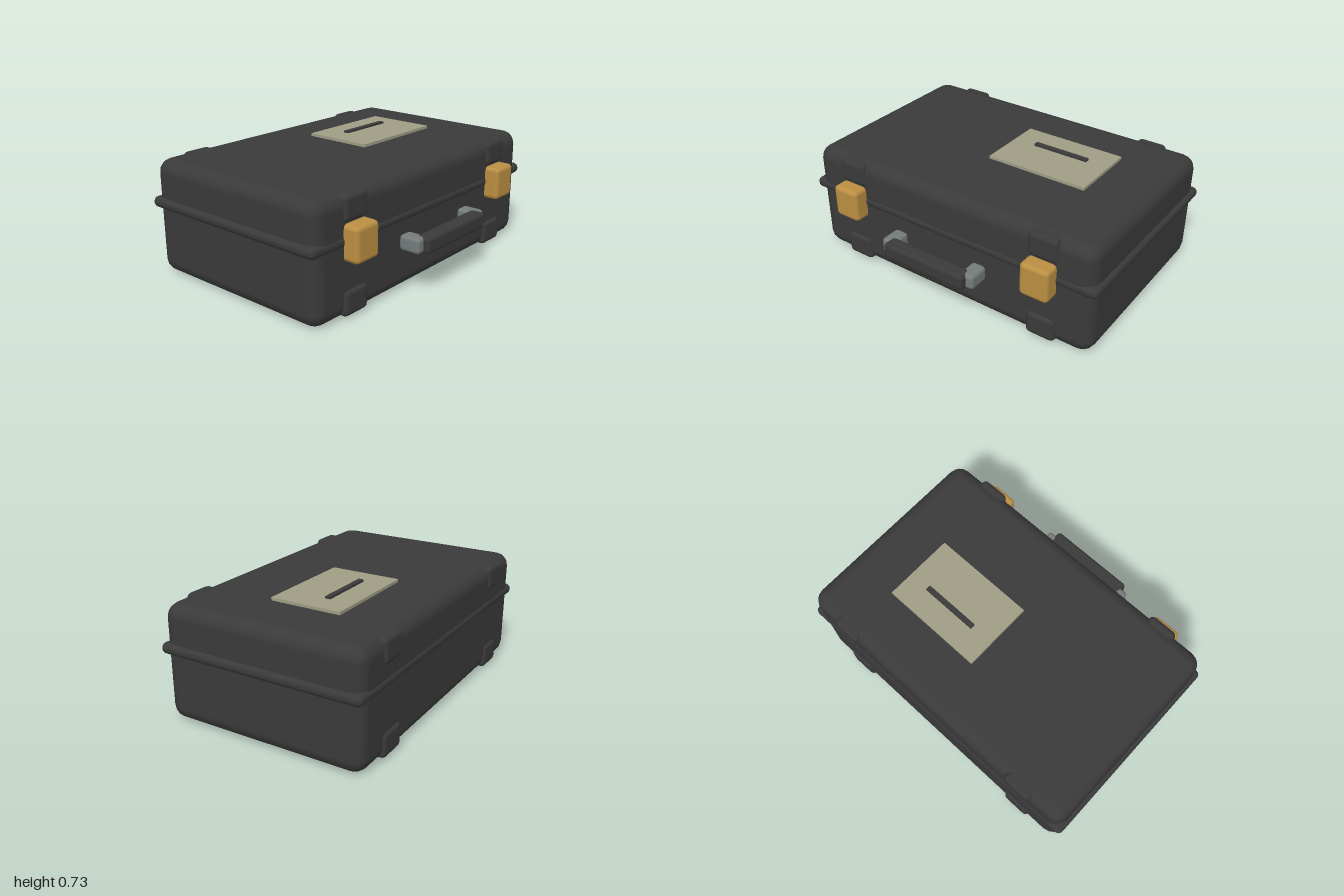
import * as THREE from 'three';
import { RoundedBoxGeometry } from 'three/addons/geometries/RoundedBoxGeometry.js';

const mat = (name, color) => {
  const m = new THREE.MeshStandardMaterial({ color });
  m.name = name;
  return m;
};

export function createModel() {
  const charcoal = mat('charcoal', 0x3a3a3a);
  const brass = mat('brass', 0xbb8f42);
  const steel = mat('steel', 0x757b7b);
  const labelTan = mat('labelTan', 0xa09d85);

  const model = new THREE.Group();
  model.name = 'hardCase';

  // Box given by its extents on each axis; radius 0 gives sharp edges
  function box(name, material, [x0, x1], [y0, y1], [z0, z1], radius = 0, segments = 2) {
    const size = [x1 - x0, y1 - y0, z1 - z0];
    const geo = radius
      ? new RoundedBoxGeometry(...size, segments, radius)
      : new THREE.BoxGeometry(...size);
    const mesh = new THREE.Mesh(geo, material);
    mesh.name = name;
    mesh.position.set((x0 + x1) / 2, (y0 + y1) / 2, (z0 + z1) / 2);
    model.add(mesh);
  }

  // Shell and the rim around its opening
  box('shell', charcoal, [-0.977, 0.977], [0, 0.697], [-0.722, 0.54], 0.085);
  box('rim', charcoal, [-1, 1], [0.405, 0.471], [-0.73, 0.547], 0.031);

  for (const [side, x] of [['right', -0.67], ['left', 0.67]]) {
    const span = [x - 0.094, x + 0.094];
    // Bumpers near the top and bottom edges, front and back
    for (const [level, y] of [['lower', [0.012, 0.164]], ['upper', [0.537, 0.688]]]) {
      box(`${side}${level}FrontBumper`, charcoal, span, y, [0.455, 0.556], 0.03);
      box(`${side}${level}BackBumper`, charcoal, span, y, [-0.736, -0.635], 0.03);
    }
    // Latch
    box(`${side}Latch`, brass, [x - 0.09, x + 0.09], [0.329, 0.534], [0.5, 0.632], 0.027);
  }

  // Carrying handle
  box('rightHandleMount', steel, [-0.33, -0.238], [0.266, 0.358], [0.56, 0.695], 0.022);
  box('leftHandleMount', steel, [0.235, 0.327], [0.266, 0.358], [0.56, 0.695], 0.022);
  box('handleGrip', charcoal, [-0.285, 0.281], [0.265, 0.36], [0.637, 0.732], 0.022);

  // Label plate with a dark bar on the lid
  box('labelPlate', labelTan, [-0.016, 0.626], [0.695, 0.715], [-0.385, 0.055]);
  box('labelBar', charcoal, [0.13, 0.488], [0.71, 0.728], [-0.237, -0.205]);

  return model;
}
